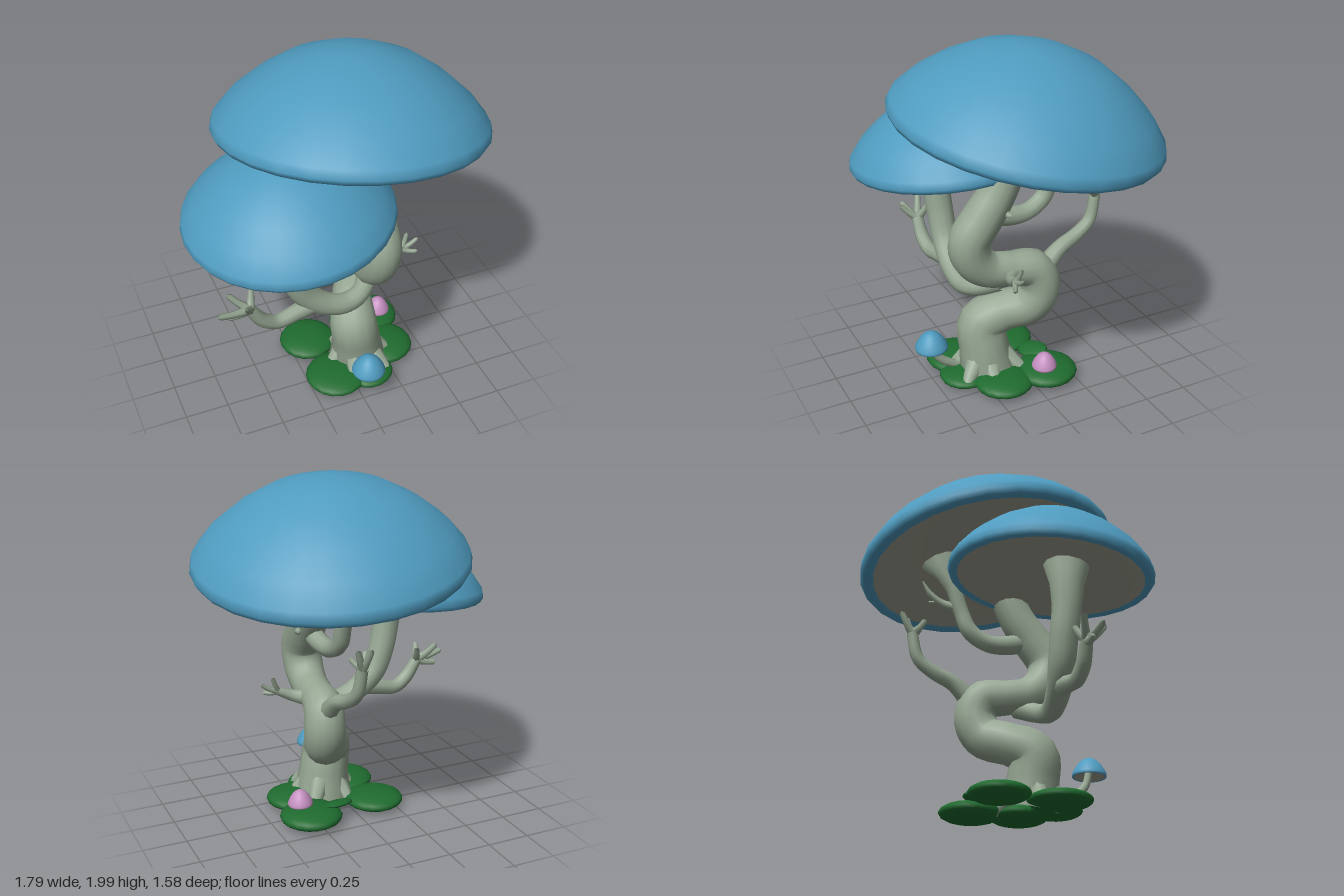
import * as THREE from 'three';

const mat = (name, color) => {
  const m = new THREE.MeshStandardMaterial({ color });
  m.name = name;
  return m;
};

export function createModel() {
  const blue = mat('blue cap', 0x4f9bbf);
  const bark = mat('pale bark', 0x96a793);
  const gill = mat('gill grey', 0xa0a092);
  const green = mat('leaf green', 0x1f6b2f);
  const pink = mat('pink cap', 0xc48fc0);
  const root = new THREE.Group();
  root.name = 'mushroomTree';

  const add = (name, geo, material, parent = root) => {
    const mesh = new THREE.Mesh(geo, material);
    mesh.name = name;
    parent.add(mesh);
    return mesh;
  };

  // Tapered limb through points [x, y, z, radius]
  const limb = (name, pts, sides = 10, steps = 5) => {
    const curve = new THREE.CatmullRomCurve3(pts.map(p => new THREE.Vector3(p[0], p[1], p[2])));
    const n = (pts.length - 1) * steps;
    const geo = new THREE.TubeGeometry(curve, n, 1, sides);
    const pos = geo.attributes.position, v = new THREE.Vector3();
    for (let i = 0; i <= n; i++) {
      const c = curve.getPointAt(i / n);
      const t = curve.getUtoTmapping(i / n) * (pts.length - 1);
      const k = Math.min(Math.floor(t), pts.length - 2);
      const r = THREE.MathUtils.lerp(pts[k][3], pts[k + 1][3], t - k);
      for (let j = 0; j <= sides; j++) {
        const id = i * (sides + 1) + j;
        v.fromBufferAttribute(pos, id).sub(c).multiplyScalar(r).add(c);
        pos.setXYZ(id, v.x, v.y, v.z);
      }
    }
    return add(name, geo, bark);
  };

  // Mushroom cap: domed skin with a rolled rim, and a hollow underside
  const skin = [[.69, .012], [.715, 0], [.745, .005], [.763, .035], [.75, .085], [.66, .195],
    [.52, .31], [.36, .405], [.18, .463], [.08, .477], [0, .48]];
  const under = [[0, .11], [.25, .1], [.5, .065], [.69, .012]];
  const lathe = pts => new THREE.LatheGeometry(pts.map(p => new THREE.Vector2(...p)), 28);
  const cap = (name, at, normal, sr, sy, material) => {
    const g = new THREE.Group();
    g.name = name;
    g.position.set(...at);
    g.scale.set(sr, sy, sr);
    g.quaternion.setFromUnitVectors(new THREE.Vector3(0, 1, 0), new THREE.Vector3(...normal).normalize());
    add(name + 'Skin', lathe(skin), material, g);
    add(name + 'Underside', lathe(under), gill, g);
    root.add(g);
  };
  cap('largeCap', [.13, 1.508, -.04], [.1, 1, -.17], 1, 1, blue);
  cap('smallCap', [-.325, 1.225, .205], [-.08, 1, .06], .752, .81, blue);

  // Winding trunk, flared at the foot and under the cap
  limb('trunk', [
    [.1, .04, .18, .17], [.08, .2, .2, .145], [.06, .34, .2, .14], [.1, .41, .08, .12],
    [.18, .47, -.05, .12], [.2, .58, -.1, .12], [.19, .69, -.06, .115], [.17, .715, .08, .1],
    [.16, .74, .21, .105], [.16, .83, .3, .115], [.165, .94, .32, .118], [.17, 1.07, .24, .115],
    [.17, 1.2, .15, .105], [.17, 1.35, .08, .1], [.18, 1.48, .03, .115], [.19, 1.6, 0, .23]], 14);

  // Roots spreading from the foot
  [[.2, .36], [.27, .22], [.22, .02], [0, .04], [-.08, .2], [0, .36]].forEach(([x, z]) =>
    limb('rootLimb', [[.08, .26, .19, .06], [(x + .08) / 2, .15, (z + .19) / 2, .06],
      [x, .06, z, .035], [x * 1.15 - .01, .03, z * 1.15 - .03, .004]], 7, 3));

  // Branches that hold the caps
  limb('smallCapBranch', [
    [.18, .66, .14, .06], [.08, .6, .25, .055], [-.03, .58, .28, .06], [-.17, .63, .28, .068],
    [-.28, .74, .27, .075], [-.335, .88, .27, .078], [-.37, 1.05, .28, .082],
    [-.385, 1.18, .28, .095], [-.39, 1.3, .28, .13]], 12);
  limb('backCapBranch', [
    [.16, 1.07, .2, .06], [.15, 1.03, .06, .055], [.14, 1.03, -.05, .05], [.13, 1.09, -.15, .05],
    [.13, 1.2, -.2, .045], [.12, 1.34, -.25, .045], [.12, 1.44, -.3, .06], [.12, 1.52, -.33, .12]]);
  limb('backTwig', [[.13, 1.23, -.2, .03], [.15, 1.26, -.31, .022], [.15, 1.31, -.38, .018], [.15, 1.39, -.43, .005]], 6);
  limb('backTwigFinger', [[.15, 1.27, -.33, .015], [.17, 1.27, -.39, .005]], 5, 3);

  // Arms with finger-like twigs at the end
  const arm = (name, pts, wrist, tips, r) => {
    limb(name, [...pts, [...wrist, r]], 9);
    tips.forEach(t => {
      const mid = wrist.map((w, i) => (w + t[i]) / 2 + (i === 1 ? -.008 : 0));
      limb(name + 'Finger', [[...wrist, r * .85], [...mid, r * .6], [...t, r * .5], [...t.map((c, i) => c + (c - mid[i]) * .05), .001]], 6, 3);
    });
  };
  arm('rightArm',
    [[-.2, .65, .28, .055], [-.33, .62, .29, .048], [-.45, .6, .3, .042], [-.53, .65, .31, .042]],
    [-.6, .75, .31],
    [[-.79, .78, .34], [-.71, .85, .26], [-.57, .84, .25], [-.64, .83, .4], [-.73, .72, .3]], .034);
  arm('backArm',
    [[.2, .68, -.12, .06], [.19, .78, -.23, .045], [.17, .83, -.35, .04], [.16, .9, -.44, .036]],
    [.15, 1.05, -.48],
    [[.13, 1.17, -.55], [.19, 1.16, -.51], [.1, 1.12, -.41], [.2, 1.1, -.43]], .032);
  arm('leftArm',
    [[.22, .71, .08, .05], [.3, .72, .13, .035]],
    [.38, .75, .15],
    [[.48, .8, .15], [.46, .74, .19], [.42, .84, .13]], .024);
  limb('trunkStub', [[.24, 1.11, .15, .02], [.27, 1.09, .12, .018], [.272, 1.09, .119, .001]], 6, 3);

  // Leafy ground pads
  [[.29, -.1, .18, .055], [.28, .17, .17, .05], [-.09, .3, .18, .047], [-.14, -.04, .17, .05], [.1, .33, .15, .042]]
    .forEach(([x, z, r, y]) => {
      const m = add('groundLeaf', new THREE.SphereGeometry(1, 18, 10), green);
      m.scale.set(r, y, r);
      m.position.set(x, y + .008, z);
    });
  const sprig = add('raisedLeaf', new THREE.SphereGeometry(1, 12, 8), green);
  sprig.scale.set(.1, .02, .07);
  sprig.position.set(.12, .1, -.1);
  sprig.rotation.set(.3, .5, 0);

  // Little mushrooms
  limb('blueMushroomStem', [[.03, .07, .33, .028], [.03, .12, .42, .026], [.025, .18, .48, .022], [.025, .27, .505, .02]], 8);
  cap('blueMushroomCap', [.025, .23, .505], [0, 1, .02], .125, .23, blue);
  limb('pinkMushroomStem', [[.33, .06, -.06, .028], [.335, .1, -.06, .022], [.34, .16, -.06, .02]], 8);
  cap('pinkMushroomCap', [.34, .123, -.06], [.03, 1, 0], .094, .19, pink);

  return root;
}
